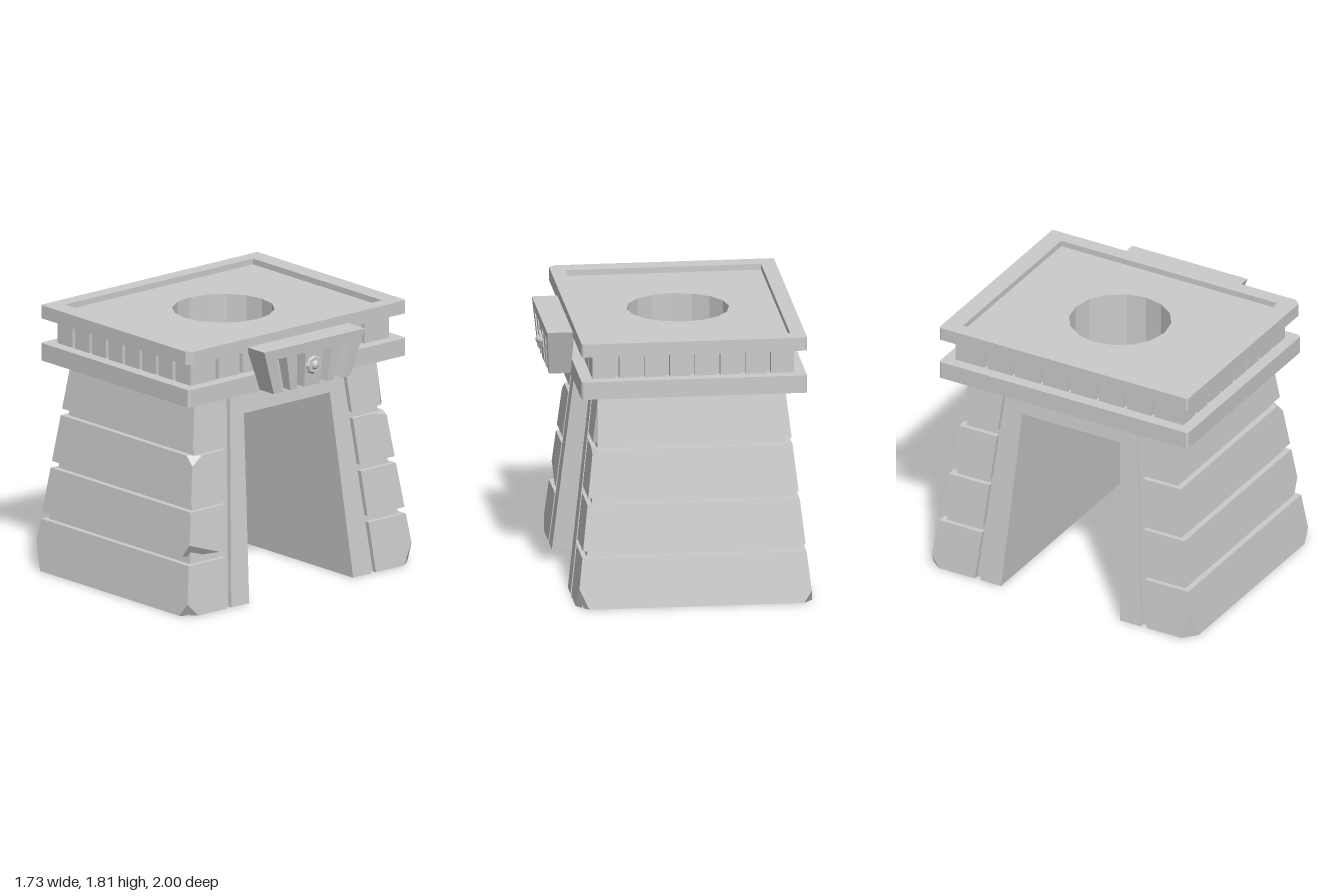
import * as THREE from 'three';
import { ConvexGeometry } from 'three/addons/geometries/ConvexGeometry.js';

const CX = -0.08; // centre of the gate in x
const stone = new THREE.MeshStandardMaterial({ color: 0xcccccc, flatShading: true });

// Battered wall: outline as a function of height
const halfX = y => 0.785 - 0.115 * y;
const outerZ = y => 1 - 0.147 * y;
const blockZ = y => 0.655 - 0.093 * y;
const frameZ = y => 0.612 - 0.091 * y;
const doorZ = y => 0.455 - 0.063 * y;

function add(parent, name, geometry) {
  const mesh = new THREE.Mesh(geometry, stone);
  mesh.name = name;
  parent.add(mesh);
  return mesh;
}

const toShape = pts => new THREE.Shape(pts.map(([a, b]) => new THREE.Vector2(a, b)));

// Extrude a [z, y] outline along x between two limits that may vary with y
function prismX(outline, x0, x1) {
  const g = new THREE.ExtrudeGeometry(toShape(outline.map(([z, y]) => [-z, y])), { depth: 1, bevelEnabled: false });
  g.rotateY(Math.PI / 2);
  const p = g.attributes.position;
  for (let i = 0; i < p.count; i++) {
    const y = p.getY(i);
    p.setX(i, p.getX(i) < 0.5 ? x0(y) : x1(y));
  }
  g.computeVertexNormals();
  return g;
}

// Extrude an [x, -z] outline with an optional hole from y0 to y1
function slab(outline, y0, y1, hole) {
  const shape = toShape(outline);
  if (hole) shape.holes.push(toShape(hole));
  const g = new THREE.ExtrudeGeometry(shape, { depth: y1 - y0, bevelEnabled: false });
  g.rotateX(-Math.PI / 2);
  g.translate(CX, y0, 0);
  return g;
}

const rect = (hx, hz) => [[-hx, -hz], [hx, -hz], [hx, hz], [-hx, hz]];

// Rectangle with four clipped corners; the front left one is clipped more
function clippedRect(hx, hz, c, big) {
  return [[-hx + c, -hz], [hx - big, -hz], [hx, -hz + big], [hx, hz - c],
    [hx - c, hz], [-hx + c, hz], [-hx, hz - c], [-hx, -hz + c]];
}

// Rectangle with narrow notches along every side
function notchedRect(hx, hz, nx, stepX, nz, stepZ) {
  const w = 0.013, d = 0.035, pts = [];
  const side = (from, n, step, place) => {
    pts.push(place(from, 0));
    for (let k = -n; k <= n; k++) {
      const c = k * step;
      pts.push(place(c - w, 0), place(c - w, d), place(c + w, d), place(c + w, 0));
    }
  };
  side(-hx, nx, stepX, (t, i) => [t, -hz + i]);
  side(-hz, nz, stepZ, (t, i) => [hx - i, t]);
  side(-hx, nx, stepX, (t, i) => [-t, hz - i]);
  side(-hz, nz, stepZ, (t, i) => [-hx + i, -t]);
  return pts;
}

// Broken outer corners: 'course x-sign z-sign top/bottom' -> cut lengths in x, y, z
const chips = {
  '0 1 1 0': [0.08, 0.09, 0.1], '0 -1 1 0': [0.09, 0.19, 0.08],
  '0 1 -1 0': [0.08, 0.14, 0.1], '0 -1 -1 0': [0.06, 0.08, 0.07],
  '1 1 1 0': [0.07, 0.09, 0.27], '2 1 1 1': [0.06, 0.06, 0.08],
  '3 1 -1 0': [0.03, 0.29, 0.035], '2 1 -1 1': [0.03, 0.03, 0.1],
};

function courseBlock(index, y0, y1, sz) {
  const corner = (sx, top, outer) => {
    const y = top ? y1 : y0;
    return new THREE.Vector3(CX + sx * halfX(y), y, sz * (outer ? outerZ(y) : blockZ(y)));
  };
  const pts = [];
  for (const sx of [-1, 1]) for (const top of [0, 1]) {
    pts.push(corner(sx, top, false));
    const c = corner(sx, top, true);
    const cut = chips[`${index} ${sx} ${sz} ${top}`];
    if (!cut) { pts.push(c); continue; }
    const ends = [corner(-sx, top, true), corner(sx, 1 - top, true), corner(sx, top, false)];
    ends.forEach((e, i) => pts.push(c.clone().lerp(e, cut[i] / c.distanceTo(e))));
  }
  return new ConvexGeometry(pts);
}

export function createModel() {
  const gate = new THREE.Group();
  gate.name = 'stoneGate';
  const left = inset => y => CX - halfX(y) + inset;
  const right = inset => y => CX + halfX(y) - inset;
  const courses = [[0, 0.34], [0.385, 0.69], [0.735, 1.05], [1.095, 1.43]];
  const TOP = 1.43;

  // Two legs: recessed core, stone courses and door jamb
  for (const s of [1, -1]) {
    const leg = new THREE.Group();
    leg.name = s > 0 ? 'frontLeg' : 'backLeg';
    gate.add(leg);
    add(leg, 'wallCore', prismX([
      [s * (frameZ(0) - 0.03), 0.003], [s * (outerZ(0) - 0.04), 0.003],
      [s * (outerZ(TOP) - 0.04), TOP], [s * (frameZ(TOP) - 0.03), TOP],
    ], left(0.033), right(0.033)));
    courses.forEach(([y0, y1], i) => add(leg, 'stoneCourse', courseBlock(i, y0, y1, s)));
    add(leg, 'doorJamb', prismX([
      [s * doorZ(0), 0], [s * frameZ(0), 0], [s * frameZ(TOP), TOP], [s * doorZ(TOP), TOP],
    ], left(0), right(0)));
  }

  // Round shaft through the roof
  const shaft = [];
  for (let i = 0; i < 16; i++) {
    const a = i / 16 * Math.PI * 2;
    shaft.push([0.34 * Math.cos(a), 0.34 * Math.sin(a)]);
  }

  // Passage ceiling, its ends following the slope of the walls
  const ceiling = slab(rect(0.6, 0.378), 1.26, TOP, shaft);
  const p = ceiling.attributes.position;
  for (let i = 0; i < p.count; i++) {
    const dx = p.getX(i) - CX;
    if (Math.abs(dx) > 0.5) p.setX(i, CX + Math.sign(dx) * halfX(p.getY(i)));
  }
  ceiling.computeVertexNormals();
  add(gate, 'lintel', ceiling);

  // Entablature
  add(gate, 'lowerSlab', slab(clippedRect(0.75, 0.95, 0.012, 0.02), TOP, 1.55, shaft));
  add(gate, 'frieze', slab(notchedRect(0.67, 0.87, 3, 0.168, 3, 0.213), 1.55, 1.72, shaft));
  add(gate, 'roofFloor', slab(rect(0.7, 0.9), 1.72, 1.77, shaft));
  add(gate, 'roofRim', slab(clippedRect(0.75, 0.95, 0.012, 0.04), 1.72, 1.81, rect(0.65, 0.825)));

  // Keystone with slanted slots, open at the bottom
  const keystone = new THREE.Group();
  keystone.name = 'keystone';
  gate.add(keystone);
  const yB = 1.44, yT = 1.75, yS = 1.68;
  const face = y => 0.815 + (y - yB) * 0.08;
  const slotBack = () => 0.745;
  const slots = [[0.33, 0.24, 0.26, 0.19], [0.165, 0.075, 0.13, 0.07]]; // top pair, bottom pair
  const cut = ([t0, t1, b0, b1], s) => [[s * b0, yB], [s * t0, yS], [s * t1, yS], [s * b1, yB]];
  const fluted = [[0.44, yT], [0.335, yB],
    ...slots.flatMap(q => cut(q, 1)),
    ...slots.slice().reverse().flatMap(q => cut(q, -1).reverse()),
    [-0.335, yB], [-0.44, yT]];
  const plate = [[0.44, yT], [0.335, yB], [-0.335, yB], [-0.44, yT]];
  add(keystone, 'keystoneBack', prismX(plate, y => 0.672 - (y - yB) * 0.04, slotBack));
  add(keystone, 'keystoneFlutes', prismX(fluted, slotBack, face));

  // Boss on the keystone
  const disc = add(keystone, 'bossDisc', new THREE.CylinderGeometry(0.055, 0.075, 0.035, 8));
  disc.rotation.z = -Math.PI / 2;
  disc.position.set(0.827, 1.585, 0);
  const knob = add(keystone, 'bossKnob', new THREE.SphereGeometry(0.033, 8, 6));
  knob.position.set(0.835, 1.585, 0);

  return gate;
}
